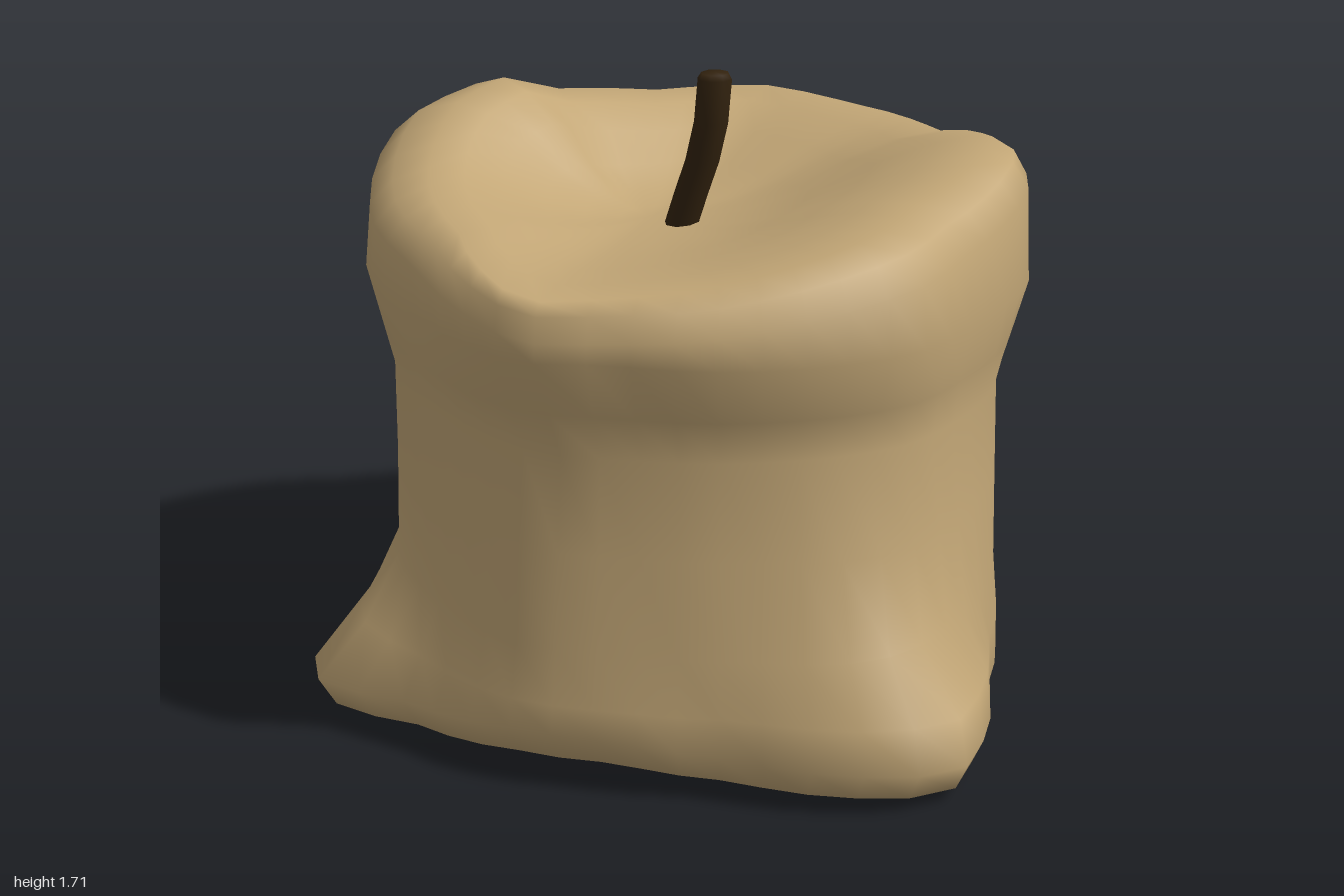
import * as THREE from 'three';

// Outlines of the wax body as [x, z] or [x, z, y] points, running from the front (+z) towards +x
const base = [[-.05, .92, .04], [.17, .77, .01], [.44, .62, .04], [.62, .38, .055], [.8, .12, .06], [.88, -.08, .06],
  [.9, -.33, .07], [.8, -.56, .06], [.5, -.8, .06], [.2, -.92, .06], [-.1, -.95, .06], [-.45, -.9, .04],
  [-.8, -.82, 0], [-.9, -.74, 0], [-.9, -.37, .04], [-.89, 0, .08], [-.78, .25, .08], [-.62, .52, .05],
  [-.39, .93, .04], [-.28, 1, .04]];
const low = [[0, .8], [.2, .74], [.49, .55], [.66, .3], [.78, 0], [.75, -.35], [.67, -.53], [.43, -.8], [.15, -.91],
  [-.15, -.92], [-.45, -.8], [-.64, -.62], [-.8, -.3], [-.855, 0], [-.72, .3], [-.57, .54], [-.4, .76], [-.28, .81]];
const waist = [[.05, .74], [.3, .68], [.51, .52], [.68, .27], [.81, 0], [.76, -.35], [.68, -.53], [.4, -.82], [.1, -.93],
  [-.2, -.93], [-.45, -.8], [-.65, -.58], [-.78, -.28], [-.81, 0], [-.68, .31], [-.49, .55], [-.2, .74]];
const head = [[0, .79], [.17, .77], [.44, .69], [.6, .52], [.7, .32], [.85, .17], [.84, -.2], [.8, -.5], [.55, -.74],
  [.31, -.94], [0, -.99], [-.24, -1], [-.65, -.69], [-.78, -.4], [-.9, .09], [-.78, .25], [-.47, .68], [-.24, .8]];
const crest = [[0, .61, 1.465], [.22, .61, 1.5], [.4, .59, 1.55], [.55, .4, 1.51], [.62, .26, 1.47], [.73, .1, 1.455],
  [.77, -.15, 1.455], [.79, -.48, 1.455], [.5, -.64, 1.47], [.21, -.77, 1.51], [0, -.79, 1.58], [-.22, -.77, 1.55],
  [-.5, -.6, 1.44], [-.7, -.3, 1.39], [-.88, .08, 1.33], [-.74, .23, 1.33], [-.58, .4, 1.35], [-.24, .62, 1.43]];

const SIDES = 48;
const TURN = Math.PI * 2;
const mix = THREE.MathUtils.lerp;

// Resamples an outline at equal angles, blending radius and height between its points
function sample(outline) {
  const points = outline
    .map(([x, z, y = 0]) => ({ a: (Math.atan2(x, z) + TURN) % TURN, r: Math.hypot(x, z), y }))
    .sort((p, q) => p.a - q.a);
  const first = points[0], last = points[points.length - 1];
  points.unshift({ ...last, a: last.a - TURN });
  points.push({ ...first, a: first.a + TURN });
  return Array.from({ length: SIDES }, (_, j) => {
    const a = j / SIDES * TURN;
    const k = points.findIndex((p) => p.a > a);
    const p = points[k - 1], q = points[k];
    const t = (a - p.a) / (q.a - p.a), r = mix(p.r, q.r, t);
    return new THREE.Vector3(Math.sin(a) * r, mix(p.y, q.y, t), Math.cos(a) * r);
  });
}

// Skins closed rings from bottom to top and closes the last one at a centre point
function loft(rings, tip) {
  const n = rings[0].length;
  const index = [];
  for (let i = 0; i < rings.length; i++) {
    for (let j = 0; j < n; j++) {
      const k = (j + 1) % n, a = i * n + j, b = i * n + k;
      if (i === rings.length - 1) index.push(a, b, rings.length * n);
      else index.push(a, b, a + n, b, b + n, a + n);
    }
  }
  const geometry = new THREE.BufferGeometry().setFromPoints([...rings.flat(), tip]);
  geometry.setIndex(index);
  geometry.computeVertexNormals();
  return geometry;
}

function waxGeometry() {
  const [baseRing, lowRing, waistRing, headRing, crestRing] = [base, low, waist, head, crest].map(sample);
  const between = (from, to, t, y) => from.map((p, j) => p.clone().lerp(to[j], t).setY(y(j)));
  const lip = (scale, lift) => baseRing.map((p) => new THREE.Vector3(p.x * scale, p.y + lift, p.z * scale));
  // the foot flares out higher up at the front than at the back
  const flare = lowRing.map((p, j) =>
    p.clone().lerp(baseRing[j], 0.62 + 0.22 * Math.cos(j / SIDES * TURN)).setY(0.24));
  const floor = new THREE.Vector3(0, 1.27, -0.26);
  const rings = [
    // rounded lip around the open underside
    lip(0.91, 0.015), lip(0.96, 0), lip(1, 0.08),
    // side wall up to the swollen head
    flare,
    between(lowRing, baseRing, 0.03, () => 0.39),
    between(lowRing, waistRing, 0.5, () => 0.65),
    between(waistRing, headRing, 0, () => 0.91),
    between(waistRing, headRing, 0.45, () => 1.03),
    between(waistRing, headRing, 1, () => 1.18),
    // rolled rim
    between(headRing, crestRing, 0.1, (j) => crestRing[j].y - 0.1),
    between(headRing, crestRing, 0.45, (j) => crestRing[j].y - 0.035),
    crestRing,
    // melted basin: [way to the centre, share of rim height]
    ...[[0.16, 0.91], [0.34, 0.66], [0.52, 0.34], [0.7, 0.12], [0.86, 0.02]].map(([t, h]) => crestRing.map((p) =>
      p.clone().lerp(floor, t).setY(mix(floor.y, p.y, h)))),
  ];
  return loft(rings, floor);
}

function wickGeometry() {
  // [y, z, radius] up the bent stem, ending in a bevelled tip
  const stem = [[1.24, -0.165, 0.047], [1.36, -0.12, 0.047], [1.46, -0.08, 0.047], [1.57, -0.05, 0.047],
    [1.69, -0.037, 0.047], [1.705, -0.036, 0.038]];
  const rings = stem.map(([y, z, r]) => Array.from({ length: 8 }, (_, j) => {
    const a = (j + 0.5) * TURN / 8;
    return new THREE.Vector3(0.008 + Math.sin(a) * r, y, z + Math.cos(a) * r);
  }));
  return loft(rings, new THREE.Vector3(0.008, 1.707, -0.036));
}

export function createModel() {
  const wax = new THREE.MeshStandardMaterial({ color: 0xc2a676, side: THREE.DoubleSide });
  wax.name = 'tan wax';
  const char = new THREE.MeshStandardMaterial({ color: 0x33230f });
  char.name = 'charred brown';

  const group = new THREE.Group();
  group.name = 'candle';
  const body = new THREE.Mesh(waxGeometry(), wax);
  body.name = 'waxBody';
  const wick = new THREE.Mesh(wickGeometry(), char);
  wick.name = 'wick';
  group.add(body, wick);
  return group;
}
